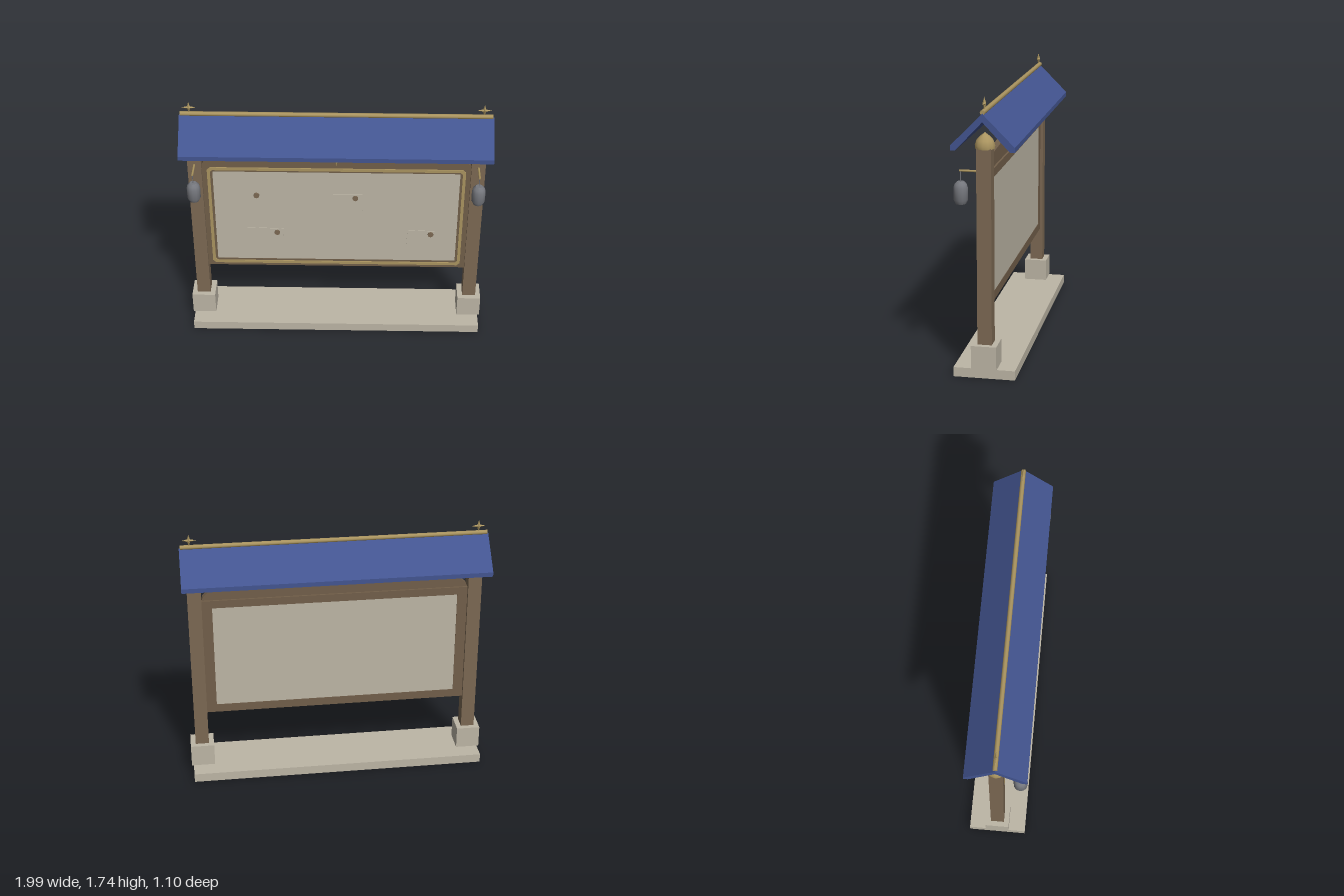
import * as THREE from 'three';
import { toCreasedNormals } from 'three/addons/utils/BufferGeometryUtils.js';

const mat = (name, color, side = THREE.FrontSide) => {
  const m = new THREE.MeshStandardMaterial({ color, side });
  m.name = name;
  return m;
};

export function createModel() {
  const stone = mat('pale stone', 0xbdb6a6, THREE.DoubleSide);
  const wood = mat('post wood', 0x7c6953);
  const darkWood = mat('frame wood', 0x725f4a);
  const blue = mat('blue roof', 0x435591);
  const gold = mat('old gold', 0xab9560);
  const iron = mat('lantern grey', 0x76787e, THREE.DoubleSide);

  const root = new THREE.Group();
  root.name = 'noticeBoard';
  const body = new THREE.Group();
  body.name = 'boardAssembly';
  body.rotation.y = Math.atan2(0.373, 0.928);
  root.add(body);

  const add = (name, geo, material, x = 0, y = 0, z = 0) => {
    const m = new THREE.Mesh(geo, material);
    m.name = name;
    m.position.set(x, y, z);
    body.add(m);
    return m;
  };
  const box = (w, h, d) => new THREE.BoxGeometry(w, h, d);
  const polygon = (pts) => new THREE.Shape(pts.map(([x, y]) => new THREE.Vector2(x, y)));
  const extrude = (shape, depth) =>
    new THREE.ExtrudeGeometry(shape, { depth, bevelEnabled: false });

  // Rectangle with chamfered corners
  const rect = (hw, y0, y1, c = 0) => c === 0
    ? [[-hw, y0], [hw, y0], [hw, y1], [-hw, y1]]
    : [[-hw + c, y0], [hw - c, y0], [hw, y0 + c], [hw, y1 - c],
      [hw - c, y1], [-hw + c, y1], [-hw, y1 - c], [-hw, y0 + c]];
  const ring = (outer, inner) => {
    const s = polygon(outer);
    s.holes.push(polygon(inner));
    return s;
  };

  // Faceted four-pointed star, thickest in the middle
  const star = (rx, ry, inner, depth) => {
    const rim = [];
    for (let i = 0; i < 8; i++) {
      const a = (i * Math.PI) / 4;
      rim.push([Math.cos(a) * (i % 2 ? inner : rx), Math.sin(a) * (i % 2 ? inner : ry), 0]);
    }
    const v = [];
    rim.forEach((p, i) => {
      const q = rim[(i + 1) % 8];
      v.push(...p, ...q, 0, 0, depth, ...q, ...p, 0, 0, -depth);
    });
    const g = new THREE.BufferGeometry();
    g.setAttribute('position', new THREE.Float32BufferAttribute(v, 3));
    g.computeVertexNormals();
    return g;
  };

  // Plinth, open underneath
  const plinth = box(1.97, 0.06, 0.384);
  const idx = Array.from(plinth.index.array);
  idx.splice(18, 6);
  plinth.setIndex(idx);
  plinth.clearGroups();
  add('plinth', plinth, stone, 0, 0.03, 0);

  // Profiles for the post caps and lanterns
  const lathe = (pts, n) => toCreasedNormals(
    new THREE.LatheGeometry(pts.map(([r, y]) => new THREE.Vector2(r, y)), n), 0.7);
  const capGeo = lathe([[0, 0], [0.06, 0], [0.062, 0.02], [0.052, 0.05],
    [0.03, 0.075], [0.012, 0.088], [0, 0.1]], 12);
  const lanternGeo = lathe([[0, 0.01], [0.028, 0.01], [0.032, 0], [0.044, 0.025], [0.044, 0.1],
    [0.037, 0.122], [0.022, 0.137], [0, 0.137]], 12);

  // Posts with footings, caps, finials and hanging lanterns
  for (const side of [-1, 1]) {
    const x = side * 0.919;
    const label = side > 0 ? 'left' : 'right';
    add(label + 'Footing', box(0.158, 0.15, 0.158), stone, x, 0.135, 0);
    add(label + 'Post', box(0.09, 1.23, 0.09), wood, x, 0.815, 0);
    add(label + 'PostCap', capGeo, gold, x, 1.425, 0);
    add(label + 'Finial', star(0.046, 0.04, 0.013, 0.012), gold, side * 0.932, 1.695, 0);
    add(label + 'FinialStem', new THREE.CylinderGeometry(0.004, 0.004, 0.04, 6), gold,
      side * 0.932, 1.67, 0);
    const arm = add(label + 'Bracket', new THREE.CylinderGeometry(0.007, 0.007, 0.12, 8), gold,
      x, 1.284, 0.098);
    arm.rotation.x = Math.PI / 2;
    add(label + 'Hanger', new THREE.CylinderGeometry(0.003, 0.003, 0.075, 6), iron, x, 1.247, 0.15);
    add(label + 'Lantern', lanternGeo, iron, x, 1.081, 0.15);
  }

  // Gabled roof and ridge
  const roofGeo = extrude(polygon([[-0.194, 1.42], [-0.165, 1.42], [0, 1.595], [0.165, 1.42],
    [0.194, 1.42], [0.194, 1.45], [0, 1.645], [-0.194, 1.45]]), 1.994);
  roofGeo.translate(0, 0, -0.997).rotateY(Math.PI / 2);
  add('roof', roofGeo, blue);
  const ridge = add('ridgeCap', new THREE.CylinderGeometry(0.015, 0.015, 1.98, 8), gold, 0, 1.65, 0);
  ridge.rotation.z = Math.PI / 2;

  // Board frame, notice panel and gold trim
  add('boardFrame', extrude(ring(rect(0.875, 0.443, 1.275), rect(0.807, 0.5, 1.222)), 0.052),
    darkWood, 0, 0, -0.026);
  add('noticePanel', box(1.614, 0.722, 0.048), stone, 0, 0.861, 0);
  add('goldTrim', extrude(ring(rect(0.842, 0.466, 1.256, 0.02), rect(0.822, 0.486, 1.236, 0.014)),
    0.008), gold, 0, 0, 0.025);

  // Peaked header with star
  add('header', extrude(polygon([[-0.875, 1.27], [0.875, 1.27], [0.865, 1.295], [0.8, 1.36],
    [0, 1.402], [-0.8, 1.36], [-0.865, 1.295]]), 0.042), darkWood, 0, 0, -0.014);
  add('headerStar', star(0.052, 0.053, 0.017, 0.012), gold, 0, 1.333, 0.03);

  // Pinned papers: x, y, width, height, tilt
  for (const [x, y, w, h, tilt] of [[0.05, 0.95, 0.25, 0.2, 0.03],
    [-0.48, 0.678, 0.25, 0.17, -0.04], [0.57, 0.68, 0.19, 0.15, -0.05]]) {
    add('paper', box(w, h, 0.004), stone, x, y, 0.026).rotation.z = tilt;
  }
  for (const [x, y] of [[-0.526, 1.036], [0.126, 1.022], [-0.396, 0.731], [0.633, 0.728]]) {
    add('pin', new THREE.CylinderGeometry(0.019, 0.019, 0.014, 8), wood, x, y, 0.031)
      .rotation.x = Math.PI / 2;
  }
  return root;
}
